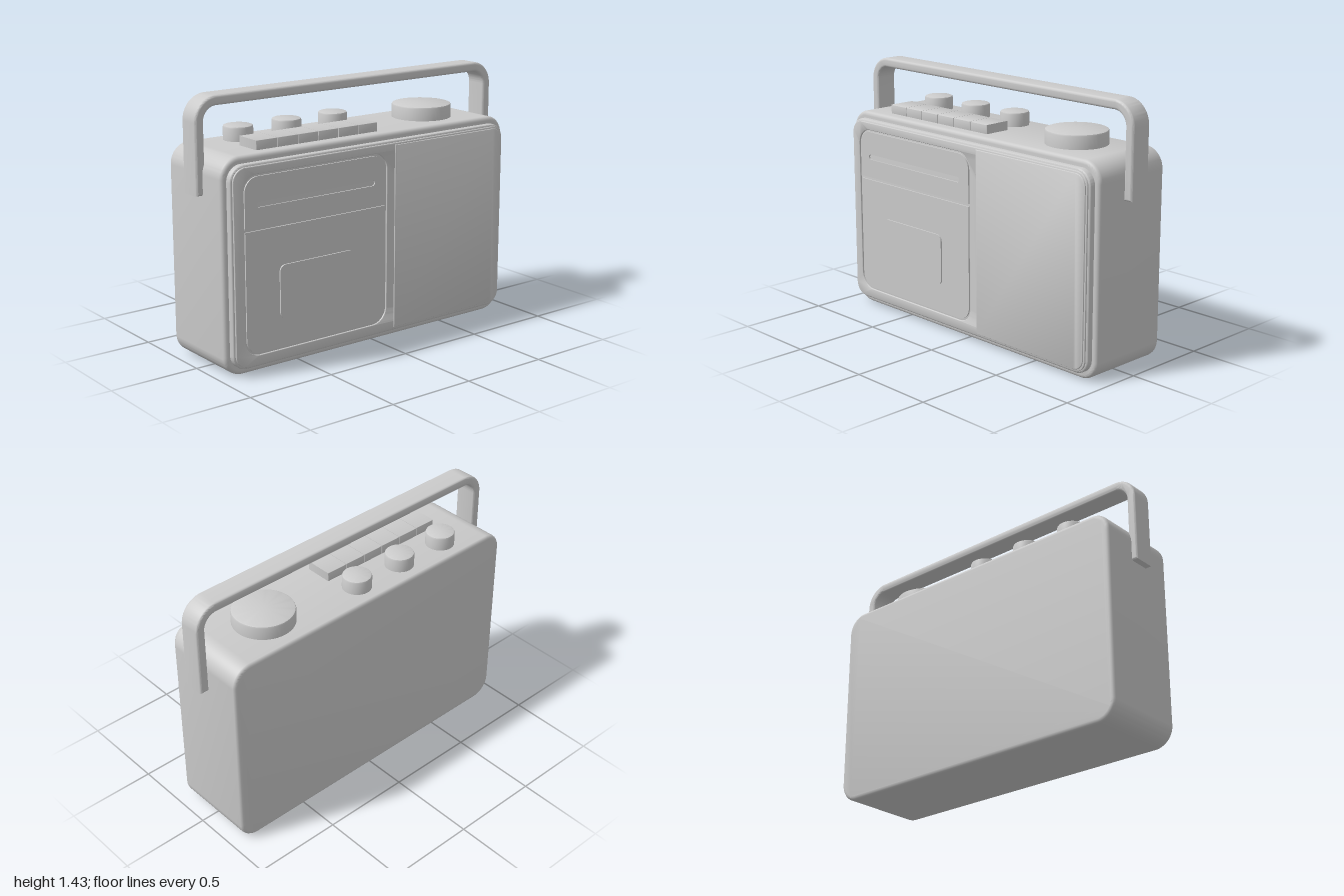
import * as THREE from 'three';
import { toCreasedNormals } from 'three/addons/utils/BufferGeometryUtils.js';

const grey = new THREE.MeshStandardMaterial({ color: 0xcccccc });

// Rounded rectangle; radii are bottom-left, bottom-right, top-right, top-left
function roundedRect(x0, y0, x1, y1, r, Type = THREE.Shape) {
  const [bl, br, tr, tl] = Array.isArray(r) ? r : [r, r, r, r];
  const s = new Type();
  s.moveTo(x0 + bl, y0);
  s.lineTo(x1 - br, y0);
  if (br) s.absarc(x1 - br, y0 + br, br, -Math.PI / 2, 0, false);
  s.lineTo(x1, y1 - tr);
  if (tr) s.absarc(x1 - tr, y1 - tr, tr, 0, Math.PI / 2, false);
  s.lineTo(x0 + tl, y1);
  if (tl) s.absarc(x0 + tl, y1 - tl, tl, Math.PI / 2, Math.PI, false);
  s.lineTo(x0, y0 + bl);
  if (bl) s.absarc(x0 + bl, y0 + bl, bl, Math.PI, Math.PI * 1.5, false);
  return s;
}

// Extrude a shape from z0 to z1 with softened edges kept inside the outline
function slab(shape, z0, z1, bevel = 0) {
  const g = new THREE.ExtrudeGeometry(shape, {
    depth: z1 - z0 - 2 * bevel, curveSegments: 10,
    bevelEnabled: bevel > 0, bevelSize: bevel, bevelThickness: bevel,
    bevelOffset: -bevel, bevelSegments: 4,
  });
  g.translate(0, 0, z0 + bevel);
  return toCreasedNormals(g, 0.6);
}

// Round control with a softened top rim
function knobGeometry(r, height) {
  const b = 0.01;
  const pts = [[0, 0], [r, 0], [r, height - b], [r - b * 0.3, height - b * 0.3], [r - b, height], [0, height]];
  return toCreasedNormals(
    new THREE.LatheGeometry(pts.map(([x, y]) => new THREE.Vector2(x, y)), 48).toNonIndexed(), 0.6);
}

export function createModel() {
  const model = new THREE.Group();
  model.name = 'portableRadio';
  const add = (name, geometry, x = 0, y = 0, z = 0) => {
    const mesh = new THREE.Mesh(geometry, grey);
    mesh.name = name;
    mesh.position.set(x, y, z);
    model.add(mesh);
  };

  // Case
  add('case', slab(roundedRect(-0.965, 0, 0.94, 1.15, 0.11), -0.272, 0.222, 0.022));

  // Front panel with a thin face plate cut out for the cassette door
  add('frontPanel', slab(roundedRect(-0.935, 0.038, 0.91, 1.112, 0.085), 0.2, 0.256, 0.012));
  const face = roundedRect(-0.923, 0.05, 0.898, 1.1, 0.073);
  face.holes.push(roundedRect(-0.867, 0.103, 0.057, 1.057, 0.09, THREE.Path));
  add('facePlate', slab(face, 0.245, 0.265, 0.004));

  // Speaker cover
  add('speakerCover', slab(roundedRect(0.11, 0.062, 0.888, 1.09, [0, 0.065, 0.065, 0]), 0.25, 0.272, 0.005));

  // Cassette door: upper strip with a slot, lower door with a window
  const strip = roundedRect(-0.856, 0.78, 0.046, 1.046, [0, 0, 0.08, 0.08]);
  strip.holes.push(roundedRect(-0.785, 0.885, -0.025, 0.915, 0.0149, THREE.Path));
  add('doorStrip', slab(strip, 0.245, 0.264));
  add('cassetteDoor', slab(roundedRect(-0.856, 0.114, 0.046, 0.765, [0.08, 0.08, 0, 0]), 0.245, 0.264));
  add('cassetteWindow', slab(roundedRect(-0.65, 0.27, -0.17, 0.56, 0.035), 0.255, 0.272));

  // Row of keys
  const keyWidth = 0.131;
  for (let i = 0; i < 6; i++) {
    add('key', slab(roundedRect(-keyWidth / 2 + 0.001, 0, keyWidth / 2 - 0.001, 0.06, 0), 0, 0.155, 0.003),
      -0.643 + i * keyWidth, 1.14, 0);
  }

  // Knobs and tuning dial
  for (const x of [-0.625, -0.315, -0.005]) add('knob', knobGeometry(0.08, 0.088), x, 1.14, -0.135);
  add('tuningDial', knobGeometry(0.168, 0.088), 0.55, 1.14, -0.035);

  // Carrying handle: an upside-down U with rounded corners
  const top = 1.435, foot = 0.93, t = 0.053, ro = 0.13, ri = ro - t;
  const u = new THREE.Shape();
  u.moveTo(1 - t, foot);
  u.lineTo(1, foot);
  u.lineTo(1, top - ro);
  u.absarc(1 - ro, top - ro, ro, 0, Math.PI / 2, false);
  u.lineTo(-1 + ro, top);
  u.absarc(-1 + ro, top - ro, ro, Math.PI / 2, Math.PI, false);
  u.lineTo(-1, foot);
  u.lineTo(-1 + t, foot);
  u.lineTo(-1 + t, top - ro);
  u.absarc(-1 + ro, top - ro, ri, Math.PI, Math.PI / 2, true);
  u.lineTo(1 - ro, top - t);
  u.absarc(1 - ro, top - ro, ri, Math.PI / 2, 0, true);
  u.lineTo(1 - t, foot);
  add('handle', slab(u, -0.077, 0.051, 0.014));

  return model;
}
